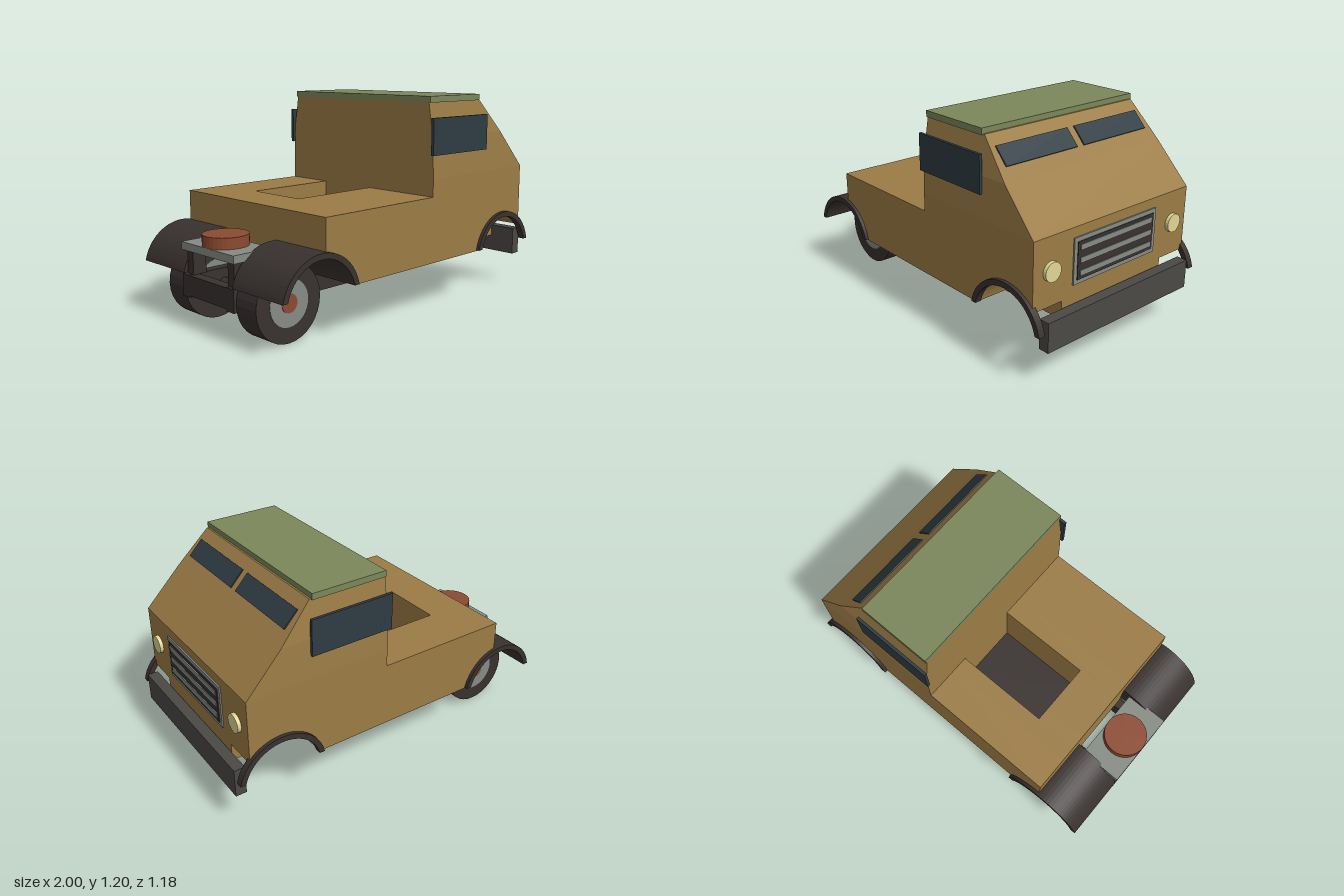
import * as THREE from 'three';

const mat = (color) => new THREE.MeshStandardMaterial({ color, flatShading: true });
const TAN = mat(0x9c7c46), GREEN = mat(0x7b875b), DARK = mat(0x38312f), BUMPER = mat(0x4b4946);
const GREY = mat(0x868b84), RED = mat(0x8c4a30), GLASS = mat(0x2f3c43), LAMP = mat(0xe0d694);

const ARCH_Y = 0.239, ARCH_R = 0.256, REAR_X = -0.75, FRONT_X = 0.75;

export function createModel() {
  const model = new THREE.Group();

  const add = (name, geometry, material, x = 0, y = 0, z = 0) => {
    const mesh = new THREE.Mesh(geometry, material);
    mesh.name = name;
    mesh.position.set(x, y, z);
    model.add(mesh);
    return mesh;
  };
  // Box given by its limits on each axis
  const box = (name, material, x0, x1, y0, y1, z0, z1) =>
    add(name, new THREE.BoxGeometry(x1 - x0, y1 - y0, z1 - z0), material,
      (x0 + x1) / 2, (y0 + y1) / 2, (z0 + z1) / 2);
  // Side profile extruded between two z values
  const slab = (name, material, shape, z0, z1) =>
    add(name, new THREE.ExtrudeGeometry(shape, { depth: z1 - z0, bevelEnabled: false, curveSegments: 16 }),
      material, 0, 0, z0);

  // Lower body: slices across the width, with wheel arches and bed recess where needed
  const bodyProfile = (frontArch, rearArch, recess) => {
    const s = new THREE.Shape();
    const r = ARCH_R - 0.02, base = 0.29;
    const half = Math.asin((base - ARCH_Y) / r);
    if (rearArch) {
      const edge = Math.acos((-0.71 - REAR_X) / r);
      s.moveTo(-0.71, ARCH_Y + r * Math.sin(edge));
      s.absarc(REAR_X, ARCH_Y, r, edge, half, true);
    } else s.moveTo(-0.71, base);
    if (frontArch) {
      const edge = Math.acos((0.93 - FRONT_X) / r);
      s.lineTo(FRONT_X - r * Math.cos(half), base);
      s.absarc(FRONT_X, ARCH_Y, r, Math.PI - half, edge, true);
    } else s.lineTo(0.93, base);
    s.lineTo(0.93, 0.76);
    s.lineTo(0.09, 0.76);
    if (recess) {
      s.lineTo(0.09, 0.31);
      s.lineTo(-0.46, 0.31);
      s.lineTo(-0.46, 0.66);
    } else s.lineTo(0.09, 0.66);
    s.lineTo(-0.71, 0.66);
    s.closePath();
    return s;
  };
  const slices = [
    [-0.57, -0.375, 1, 1, 0], [-0.375, -0.28, 0, 1, 0], [-0.28, -0.21, 0, 1, 1],
    [-0.21, 0.09, 0, 0, 1], [0.09, 0.21, 0, 0, 0], [0.21, 0.375, 0, 1, 0], [0.375, 0.57, 1, 1, 0],
  ];
  for (const [z0, z1, front, rear, recess] of slices)
    slab('lowerBody', TAN, bodyProfile(front, rear, recess), z0, z1);
  box('bedFloor', DARK, -0.46, 0.09, 0.305, 0.32, -0.28, 0.09);

  // Upper cab: rectangular sections narrowing toward the roof
  const sections = [[0.76, 0.93, 0.57], [0.98, 0.721, 0.561], [1.175, 0.54, 0.53]];
  const pos = [], idx = [];
  for (const [y, x, z] of sections)
    pos.push(0.09, y, z, x, y, z, x, y, -z, 0.09, y, -z);
  for (let i = 0; i < sections.length - 1; i++)
    for (let k = 0; k < 4; k++) {
      const a = i * 4 + k, b = i * 4 + (k + 1) % 4;
      idx.push(a, b, b + 4, a, b + 4, a + 4);
    }
  idx.push(8, 9, 10, 8, 10, 11);
  const cab = new THREE.BufferGeometry();
  cab.setAttribute('position', new THREE.Float32BufferAttribute(pos, 3));
  cab.setIndex(idx);
  const cabGeometry = cab.toNonIndexed();
  cabGeometry.computeVertexNormals();
  add('upperCab', cabGeometry, TAN);
  box('roof', GREEN, 0.09, 0.53, 1.17, 1.205, -0.54, 0.54);

  // Grille, bumper and chassis centre parts
  box('grilleFrame', GREY, 0.92, 0.938, 0.455, 0.705, -0.305, 0.305);
  box('grilleBack', DARK, 0.92, 0.942, 0.478, 0.682, -0.283, 0.283);
  for (const y of [0.512, 0.581, 0.65])
    box('grilleBar', GREY, 0.92, 0.947, y - 0.015, y + 0.015, -0.267, 0.267);
  box('bumper', BUMPER, 0.938, 1, 0.193, 0.355, -0.53, 0.53);
  box('rearCrossmember', DARK, -1, -0.94, 0.18, 0.29, -0.16, 0.16);
  box('frontCrossmember', DARK, 0.79, 0.85, 0.18, 0.29, -0.16, 0.16);
  add('axle', new THREE.CylinderGeometry(0.03, 0.03, 0.5, 12).rotateX(Math.PI / 2), DARK, -0.78, 0.21, 0);

  // Rear platform with round cap
  box('rearPlatform', GREY, -1, -0.755, 0.42, 0.462, -0.225, 0.225);
  add('platformCap', new THREE.CylinderGeometry(0.122, 0.122, 0.06, 32), RED, -0.878, 0.492, 0);

  // Thin arched fender profile
  const fenderShape = () => {
    const s = new THREE.Shape(), inner = ARCH_R - 0.031;
    const a = Math.asin((0.295 - ARCH_Y) / ARCH_R), b = Math.asin((0.295 - ARCH_Y) / inner);
    s.absarc(0, ARCH_Y, ARCH_R, a, Math.PI - a, false);
    s.absarc(0, ARCH_Y, inner, Math.PI - b, b, true);
    s.closePath();
    return s;
  };

  // Mirrored parts
  for (const side of [1, -1]) {
    const span = (a, b) => (side > 0 ? [a, b] : [-b, -a]);

    box('chassisRail', DARK, -1, 0.85, 0.17, 0.292, ...span(0.16, 0.22));
    box('platformPost', DARK, -0.98, -0.9, 0.29, 0.42, ...span(0.15, 0.2));
    slab('frontFender', DARK, fenderShape(), ...span(0.552, 0.59)).position.x = FRONT_X;
    slab('rearFender', DARK, fenderShape(), ...span(0.21, 0.59)).position.x = REAR_X;

    // Wheel with hub and cap showing on both faces
    for (const [name, r, w, m] of [['tyre', 0.208, 0.155, DARK], ['hub', 0.124, 0.16, GREY], ['hubCap', 0.05, 0.166, RED]])
      add(name, new THREE.CylinderGeometry(r, r, w, 32).rotateX(Math.PI / 2), m, -0.778, 0.21, side * 0.297);

    add('headlight', new THREE.CylinderGeometry(0.052, 0.052, 0.03, 24).rotateZ(Math.PI / 2), LAMP,
      0.935, 0.58, side * 0.455);
    box('sideWindow', GLASS, 0.075, 0.56, 0.887, 1.09, ...span(0.563, 0.58));
    const pane = add('windshieldPane', new THREE.BoxGeometry(0.016, 0.115, 0.482), GLASS,
      0.627, 1.08, side * 0.265);
    pane.rotation.z = Math.atan2(0.39, 0.415);
  }
  return model;
}
